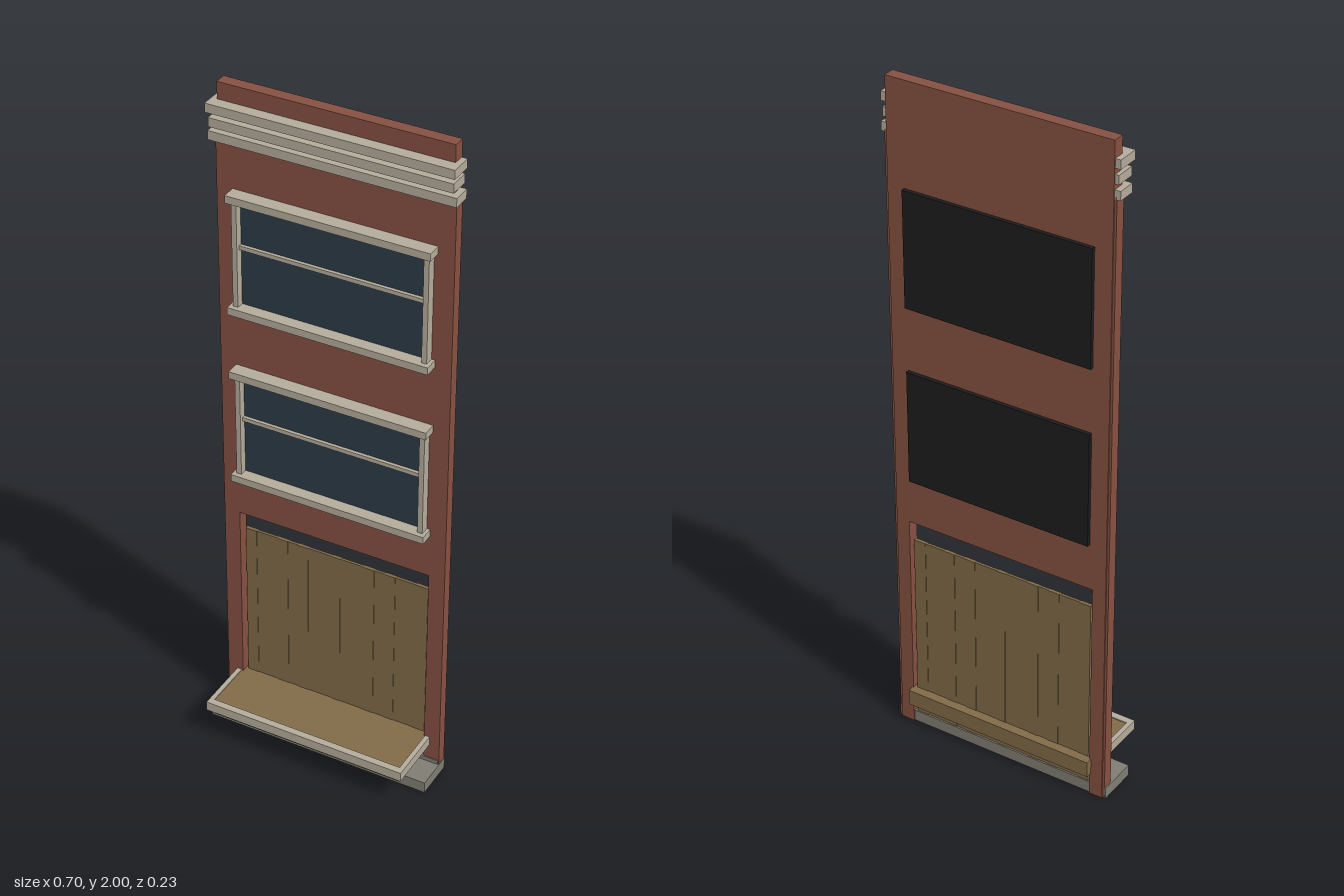
import * as THREE from 'three';

const mat = (name, color) => {
  const m = new THREE.MeshStandardMaterial({ color });
  m.name = name;
  return m;
};

export function createModel() {
  const brick = mat('brick', 0x855041);
  const trim = mat('cream trim', 0xb3ab9a);
  const wood = mat('brown wood', 0x806a48);
  const stone = mat('grey stone', 0x7f7c72);
  const glass = mat('dark glass', 0x2d3a45);
  const black = mat('black backing', 0x1c1c1c);

  const model = new THREE.Group();
  model.name = 'shopFacade';

  // Box given by its extents on each axis
  const box = (parent, name, material, x0, x1, y0, y1, z0, z1) => {
    const mesh = new THREE.Mesh(new THREE.BoxGeometry(x1 - x0, y1 - y0, z1 - z0), material);
    mesh.position.set((x0 + x1) / 2, (y0 + y1) / 2, (z0 + z1) / 2);
    mesh.name = name;
    parent.add(mesh);
    return mesh;
  };

  // Brick wall with the shop opening cut out of its foot
  const outline = new THREE.Shape();
  [[-0.333, 0], [-0.292, 0], [-0.292, 0.684], [0.292, 0.684], [0.292, 0], [0.333, 0], [0.333, 2], [-0.333, 2]]
    .forEach(([x, y], i) => (i ? outline.lineTo(x, y) : outline.moveTo(x, y)));
  const wall = new THREE.Mesh(new THREE.ExtrudeGeometry(outline, { depth: 0.035, bevelEnabled: false }), brick);
  wall.position.z = -0.095;
  wall.name = 'wall';
  model.add(wall);

  // Slim edge strips widen the wall below the cornice
  for (const s of [-1, 1]) {
    const a = s * 0.333, b = s * 0.34;
    box(model, 'wallEdge', brick, Math.min(a, b), Math.max(a, b), 0, 1.85, -0.092, -0.06);
  }

  // Cornice of three stepped mouldings
  [[1.842, 1.868, 0.35, -0.038], [1.883, 1.909, 0.344, -0.032], [1.925, 1.951, 0.349, -0.026]]
    .forEach(([y0, y1, x, z]) => box(model, 'corniceMoulding', trim, -x, x, y0, y1, -0.092, z));

  // Two identical wide windows
  for (const y of [0.812, 1.346]) {
    const win = new THREE.Group();
    win.name = 'window';
    win.position.y = y;
    model.add(win);
    box(win, 'sill', trim, -0.293, 0.293, 0.004, 0.026, -0.06, -0.019);
    box(win, 'lintel', trim, -0.293, 0.293, 0.338, 0.36, -0.06, -0.019);
    box(win, 'leftPost', trim, 0.268, 0.283, 0.026, 0.338, -0.06, -0.033);
    box(win, 'rightPost', trim, -0.283, -0.268, 0.026, 0.338, -0.06, -0.033);
    box(win, 'middleBar', trim, -0.268, 0.268, 0.194, 0.206, -0.06, -0.045);
    box(win, 'pane', glass, -0.268, 0.268, 0.026, 0.338, -0.06, -0.055);
    box(win, 'backing', black, -0.282, 0.282, 0.012, 0.354, -0.106, -0.094);
  }

  // Shutter of uneven planks, alternately set back a little
  const shutter = new THREE.Group();
  shutter.name = 'shutter';
  model.add(shutter);
  const joints = [-0.284, -0.25, -0.185, -0.151, -0.119, -0.087, -0.013, 0.013, 0.084, 0.119, 0.151, 0.183, 0.246, 0.283];
  for (let i = 0; i + 1 < joints.length; i++) {
    const d = i % 2 ? 0.0015 : 0;
    box(shutter, 'plank', wood, joints[i], joints[i + 1], 0.004, 0.623, -0.088 + d, -0.077 - d);
  }

  // Counter running through the opening, rimmed on three sides
  const counter = new THREE.Group();
  counter.name = 'counter';
  model.add(counter);
  box(counter, 'counterBoard', wood, -0.297, 0.295, 0.07, 0.119, -0.114, 0.092);
  box(counter, 'frontRim', trim, -0.311, 0.309, 0.093, 0.122, 0.092, 0.113);
  box(counter, 'leftRim', trim, 0.295, 0.309, 0.093, 0.122, -0.06, 0.092);
  box(counter, 'rightRim', trim, -0.311, -0.297, 0.093, 0.122, -0.06, 0.092);

  // Stone step and threshold
  box(model, 'step', stone, -0.344, 0.342, 0, 0.035, -0.0915, 0.029);
  box(model, 'threshold', stone, -0.338, 0.338, 0.035, 0.048, -0.074, -0.057);

  return model;
}
